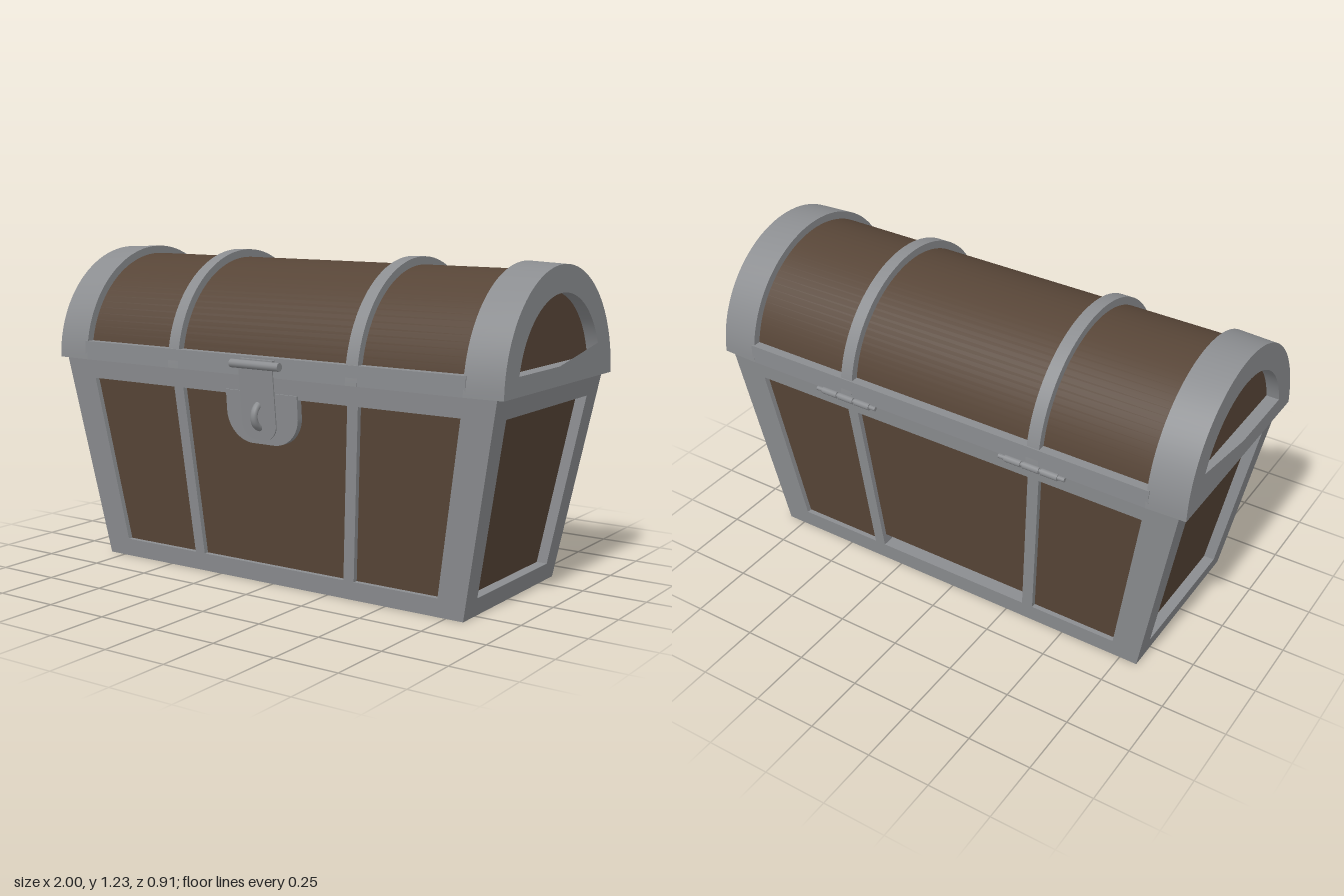
import * as THREE from 'three';
import { toCreasedNormals } from 'three/addons/utils/BufferGeometryUtils.js';

const metal = new THREE.MeshStandardMaterial({ color: 0x8b8d90 });
metal.name = 'grey metal';
const wood = new THREE.MeshStandardMaterial({ color: 0x574537 });
wood.name = 'brown wood';

const ZC = -0.013;      // depth centre of the chest
const RIM = 0.8;        // height of the seam between base and lid

function add(parent, name, geometry, material) {
  const mesh = new THREE.Mesh(geometry, material);
  mesh.name = name;
  parent.add(mesh);
  return mesh;
}

const poly = (pts, Type = THREE.Shape) => new Type(pts.map(([x, y]) => new THREE.Vector2(x, y)));
const extrude = (shape, depth, curveSegments = 12) =>
  new THREE.ExtrudeGeometry(shape, { depth, bevelEnabled: false, curveSegments });

// Leans a flat piece outwards: z grows from z0 by slope for each unit of height
function lean(geometry, z0, slope) {
  const p = geometry.attributes.position;
  for (let i = 0; i < p.count; i++) p.setZ(i, p.getZ(i) + z0 + slope * p.getY(i));
  geometry.computeVertexNormals();
  return toCreasedNormals(geometry, 0.6);
}

// One leaning wall: metal frame with openings and wood boards set back behind them
function wall(base, name, turn, w0, w1, d0, d1, recess, openings, boards) {
  const side = new THREE.Group();
  side.name = name;
  side.rotation.y = turn;
  const slope = (d1 - d0) / RIM;
  const frame = poly([[-w0, 0], [w0, 0], [w1, RIM], [-w1, RIM]]);
  frame.holes = openings.map((o) => poly(o, THREE.Path));
  add(side, name + 'Frame', lean(extrude(frame, 0.05).translate(0, 0, -0.05), d0, slope), metal);
  for (const b of boards) {
    const board = extrude(poly(b), 0.01).translate(0, 0, -0.01 - recess);
    add(side, name + 'Board', lean(board, d0, slope), wood);
  }
  base.add(side);
}

// Half-round slice of the lid between x0 and x1
function arch(r, x0, x1, holeRadius) {
  const s = new THREE.Shape();
  s.absarc(0, 0, r, 0, Math.PI, false);
  if (holeRadius) {
    const a = Math.asin(0.07 / holeRadius);
    const hole = new THREE.Path();
    hole.absarc(0, 0, holeRadius, a, Math.PI - a, false);
    s.holes.push(hole);
  }
  const g = extrude(s, x1 - x0, 24).rotateY(Math.PI / 2).translate(x0, 0, 0);
  return toCreasedNormals(g, 0.6);
}

function rod(r, length, x, y, z) {
  return new THREE.CylinderGeometry(r, r, length, 14).rotateZ(Math.PI / 2).translate(x, y, z);
}

// Plate with a rounded lower edge
function tongue(half, top, bottom, r) {
  const s = new THREE.Shape();
  s.moveTo(half, top);
  s.lineTo(-half, top);
  s.lineTo(-half, bottom + r);
  s.absarc(-half + r, bottom + r, r, Math.PI, 1.5 * Math.PI, false);
  s.absarc(half - r, bottom + r, r, 1.5 * Math.PI, 2 * Math.PI, false);
  s.closePath();
  return s;
}

function buildBase() {
  const base = new THREE.Group();
  base.name = 'base';
  base.position.z = ZC;

  const mid = [[-0.325, 0.07], [0.325, 0.07], [0.375, 0.725], [-0.375, 0.725]];
  const outer = [[0.37, 0.07], [0.72, 0.07], [0.83, 0.725], [0.42, 0.725]];
  const mirrored = outer.map(([x, y]) => [-x, y]).reverse();
  const end = [[-0.272, 0.07], [0.272, 0.07], [0.318, 0.72], [-0.318, 0.72]];

  // Boards reach a little behind the frame
  const sideBoards = [
    [[0.345, 0.04], [0.74, 0.04], [0.86, 0.76], [0.4, 0.76]],
    [[-0.74, 0.04], [-0.345, 0.04], [-0.4, 0.76], [-0.86, 0.76]],
  ];
  const midBoard = (y) => [[-0.34, y], [0.34, y], [0.395, 0.76], [-0.395, 0.76]];
  const endBoard = [[-0.29, 0.04], [0.29, 0.04], [0.34, 0.76], [-0.34, 0.76]];

  const long = [mirrored, mid, outer];
  wall(base, 'front', 0, 0.82, 0.97, 0.348, 0.413, 0.02, long, [...sideBoards, midBoard(0.04)]);
  wall(base, 'back', Math.PI, 0.82, 0.97, 0.348, 0.413, 0.02, long, [...sideBoards, midBoard(0.11)]);
  for (const s of [1, -1]) {
    wall(base, s > 0 ? 'leftEnd' : 'rightEnd', s * Math.PI / 2,
      0.348, 0.413, 0.82, 0.97, 0.042, [end], [endBoard]);
  }
  add(base, 'floor', new THREE.BoxGeometry(1.6, 0.06, 0.66).translate(0, 0.03, 0), metal);
  return base;
}

function buildLid() {
  const lid = new THREE.Group();
  lid.name = 'lid';
  lid.position.set(0, RIM, ZC);

  add(lid, 'lidBoards', arch(0.4, -0.95, 0.95), wood);
  add(lid, 'lidRail', new THREE.BoxGeometry(1.72, 0.073, 0.858).translate(0, 0.0365, 0), metal);
  for (const s of [1, -1]) {
    const x = s * 0.405;
    add(lid, 'lidBand', arch(0.43, x - 0.025, x + 0.025), metal);

    // End cap, drawn in slightly towards its outer face
    const cap = arch(0.43, s > 0 ? 0.85 : -1, s > 0 ? 1 : -0.85, 0.33);
    const p = cap.attributes.position;
    for (let i = 0; i < p.count; i++) {
      if (Math.abs(p.getX(i)) > 0.99) {
        p.setY(i, p.getY(i) * 0.985);
        p.setZ(i, p.getZ(i) * 0.985);
      }
    }
    add(lid, 'lidEndCap', cap, metal);
  }
  return lid;
}

function buildLatch() {
  const latch = new THREE.Group();
  latch.name = 'latch';
  const slope = 0.065 / RIM;
  const plate = extrude(tongue(0.162, 0.74, 0.545, 0.115), 0.026).translate(0, 0, -0.02);
  add(latch, 'lockPlate', lean(plate, 0.336, slope), metal);
  const hasp = extrude(tongue(0.077, 0.845, 0.565, 0.06), 0.005);
  add(latch, 'hasp', lean(hasp, 0.343, 0.105), metal);
  add(latch, 'haspPin', rod(0.016, 0.22, 0, 0.845, 0.435), metal);
  add(latch, 'haspMount', new THREE.BoxGeometry(0.15, 0.03, 0.025).translate(0, 0.85, 0.42), metal);
  const staple = new THREE.TorusGeometry(0.045, 0.014, 10, 20, Math.PI);
  staple.rotateZ(-Math.PI / 2).rotateY(-Math.PI / 2).translate(0, 0.655, 0.398);
  add(latch, 'staple', staple, metal);
  return latch;
}

function buildHinges() {
  const hinges = new THREE.Group();
  hinges.name = 'hinges';
  for (const s of [1, -1]) {
    const x = s * 0.405;
    add(hinges, 'hingePin', rod(0.008, 0.27, x, 0.793, -0.445), metal);
    for (const k of [-0.075, 0, 0.075]) {
      add(hinges, 'hingeKnuckle', rod(0.013, 0.066, x + k, 0.793, -0.445), metal);
    }
    add(hinges, 'hingeLeaf', new THREE.BoxGeometry(0.27, 0.008, 0.03).translate(x, 0.797, -0.43), metal);
  }
  return hinges;
}

export function createModel() {
  const chest = new THREE.Group();
  chest.name = 'chest';
  chest.add(buildBase(), buildLid(), buildLatch(), buildHinges());
  return chest;
}
